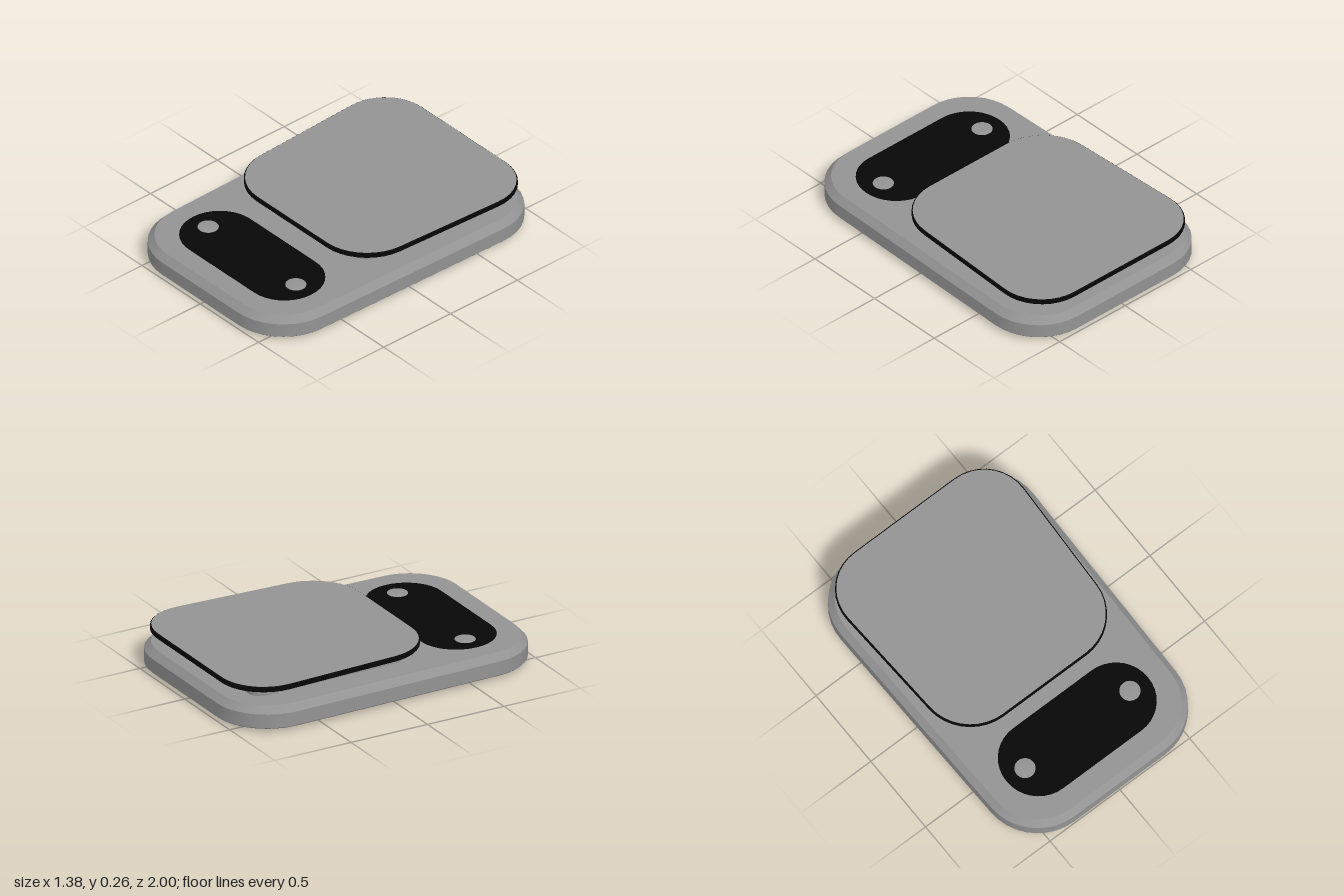
import * as THREE from 'three';
import { toCreasedNormals } from 'three/addons/utils/BufferGeometryUtils.js';

const grey = new THREE.MeshStandardMaterial({ color: 0x939393 });
const black = new THREE.MeshStandardMaterial({ color: 0x070707 });

// Rounded outline whose half width runs from `back` (at z0) to `front` (at z1)
function outline({ back, front, z0, z1, r }, inset) {
  const points = [], steps = 9;
  for (let q = 0; q < 4; q++) {
    const sx = q === 0 || q === 3 ? 1 : -1;
    const sz = q < 2 ? 1 : -1;
    for (let i = 0; i <= steps; i++) {
      const a = (q + i / steps) * Math.PI / 2;
      const z = (sz > 0 ? z1 - r : z0 + r) + (r - inset) * Math.sin(a);
      const half = THREE.MathUtils.lerp(back, front, (z - z0) / (z1 - z0));
      points.push([sx * (half - r) + (r - inset) * Math.cos(a), z]);
    }
  }
  return points;
}

// Closed slab from layers of [y, inset], bottom to top
function slab(name, shape, layers, material) {
  const pos = [], index = [];
  let n = 0;
  for (const [y, inset] of layers) {
    const ring = outline(shape, inset);
    n = ring.length;
    for (const [x, z] of ring) pos.push(x, y, z);
  }
  const midZ = (shape.z0 + shape.z1) / 2;
  const last = (layers.length - 1) * n, bottom = last + n, top = bottom + 1;
  pos.push(0, layers[0][0], midZ, 0, layers[layers.length - 1][0], midZ);
  for (let i = 0; i < n; i++) {
    const j = (i + 1) % n;
    for (let k = 0; k < last; k += n) {
      index.push(k + i, k + n + i, k + j, k + j, k + n + i, k + n + j);
    }
    index.push(bottom, i, j, top, last + j, last + i);
  }
  const geo = new THREE.BufferGeometry();
  geo.setAttribute('position', new THREE.Float32BufferAttribute(pos, 3));
  geo.setIndex(index);
  const mesh = new THREE.Mesh(toCreasedNormals(geo, 0.5), material);
  mesh.name = name;
  return mesh;
}

function lathe(name, profile, x, y, z, material) {
  const points = profile.map(([r, h]) => new THREE.Vector2(r, h));
  const mesh = new THREE.Mesh(toCreasedNormals(new THREE.LatheGeometry(points, 32), 0.5), material);
  mesh.name = name;
  mesh.position.set(x, y, z);
  return mesh;
}

function plate(name, w, h, d, x, y, z, material) {
  const mesh = new THREE.Mesh(new THREE.BoxGeometry(w, h, d), material);
  mesh.name = name;
  mesh.position.set(x, y, z);
  return mesh;
}

export function createModel() {
  const model = new THREE.Group();
  model.name = 'kitchenScale';

  // Housing with chamfered upper edge
  const housing = { back: 0.694, front: 0.656, z0: -1, z1: 1, r: 0.33 };
  model.add(slab('housing', housing,
    [[0.022, 0.006], [0.028, 0], [0.111, 0], [0.152, 0.038]], grey));

  // Pedestal carrying the weighing platform
  const pedestal = { back: 0.492, front: 0.465, z0: -0.825, z1: 0.178, r: 0.075 };
  model.add(slab('pedestal', pedestal, [[0.145, 0], [0.235, 0]], grey));

  // Platform: dark rounded rim with a pale top plate
  const platform = { back: 0.648, front: 0.588, z0: -0.972, z1: 0.317, r: 0.29 };
  model.add(slab('platformRim', platform,
    [[0.229, 0.004], [0.234, 0], [0.256, 0], [0.261, 0.005]], black));
  model.add(slab('platformTop', platform, [[0.258, 0.007], [0.262, 0.007]], grey));

  // Control panel with display window
  const panel = { back: 0.506, front: 0.506, z0: 0.383, z1: 0.84, r: 0.225 };
  model.add(slab('controlPanel', panel, [[0.146, 0], [0.154, 0]], black));
  model.add(plate('display', 0.54, 0.002, 0.22, 0, 0.1535, 0.612, black));

  // Ringed buttons and feet, mirrored left and right
  for (const side of [-1, 1]) {
    model.add(lathe('button',
      [[0.06, 0], [0.06, 0.003], [0.052, 0.0055], [0.05, 0.004], [0.03, 0.0055], [0, 0.0065]],
      side * 0.376, 0.153, 0.613, grey));
    for (const z of [-0.805, 0.745]) {
      model.add(lathe('foot', [[0, 0], [0.046, 0], [0.051, 0.005], [0.051, 0.028]],
        side * 0.441, 0, z, black));
    }
  }

  // Blank rating plate on the underside
  model.add(plate('ratingPlate', 0.69, 0.002, 0.42, 0, 0.0225, -0.14, grey));
  return model;
}
